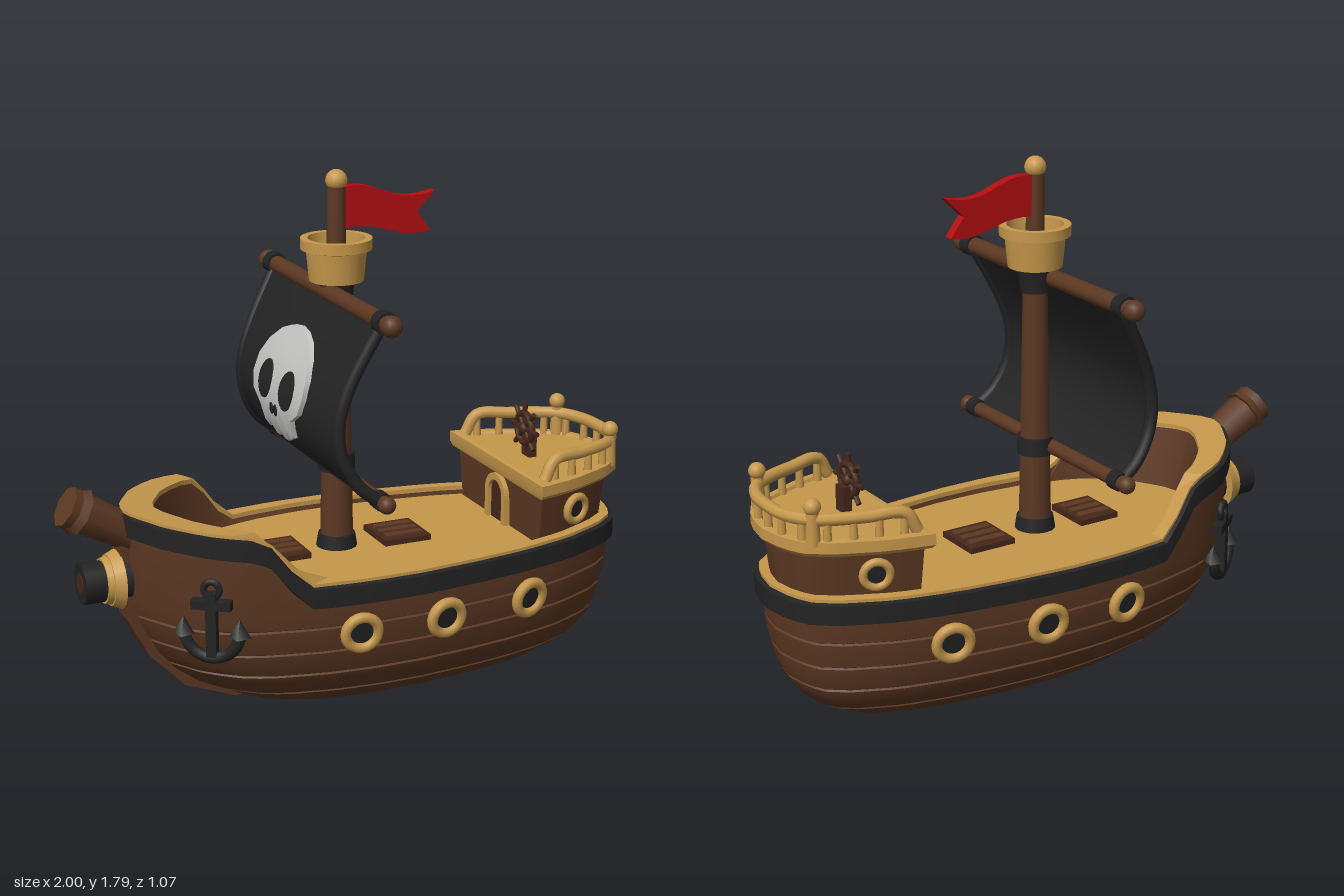
import * as THREE from 'three';
import { toCreasedNormals } from 'three/addons/utils/BufferGeometryUtils.js';

const paint = (name, color) => Object.assign(new THREE.MeshStandardMaterial({ color }), { name });
const brown = paint('brown wood', 0x5c3823), dark = paint('dark wood', 0x46271a);
const gold = paint('golden wood', 0xc6984c), black = paint('black', 0x232324);
const red = paint('red cloth', 0xb30d10), white = paint('bone white', 0xc4c4c2);
const V = (x, y, z) => new THREE.Vector3(x, y, z);

// Linear lookup in rows of [key, value, value...]
function lookup(rows, t) {
  let i = 1;
  while (i < rows.length - 1 && rows[i][0] < t) i++;
  const a = rows[i - 1], b = rows[i];
  const k = THREE.MathUtils.clamp((t - a[0]) / (b[0] - a[0]), 0, 1);
  return a.slice(1).map((v, j) => v + (b[j + 1] - v) * k);
}
// Plan half-width from bow (0) to stern (1)
const plan = [[0, 0], [0.006, 0.12], [0.015, 0.2], [0.05, 0.46], [0.107, 0.7], [0.164, 0.83], [0.28, 0.95], [0.39, 1],
  [0.5, 1], [0.62, 0.95], [0.73, 0.88], [0.84, 0.76], [0.93, 0.58], [0.97, 0.44], [0.99, 0.27], [1, 0]];
// Hull levels: height, bow x, stern x, half-width
const levels = [[0, -0.1, 0.35, 0.03], [0.02, -0.3, 0.55, 0.15], [0.07, -0.45, 0.75, 0.25], [0.12, -0.56, 0.85, 0.3],
  [0.18, -0.64, 0.9, 0.345], [0.25, -0.7, 0.93, 0.375], [0.35, -0.755, 0.95, 0.4], [0.44, -0.785, 0.96, 0.41]];
const halfWidth = (x, y) => {
  const [b, s, w] = lookup(levels, y);
  return w * lookup(plan, (x - b) / (s - b))[0];
};
// Centre height of the black wale, rising in an S curve at the bow
const sheer = x => 0.5 + 0.17 * (1 - THREE.MathUtils.smoothstep(x, -0.46, -0.28))
  + 0.035 * THREE.MathUtils.clamp((-0.45 - x) / 0.35, 0, 1);

const N = 72;
function loop(bow, stern, w, y) {
  return Array.from({ length: N }, (_, i) => {
    const a = i / N * Math.PI * 2, u = (1 + Math.cos(a)) / 2, x = bow + (stern - bow) * u;
    return V(x, typeof y === 'function' ? y(x) : y, Math.sign(Math.sin(a)) * w * lookup(plan, u)[0]);
  });
}
// The same plan cut off square in front, for the stern castle
function castleLoop(front, stern, w, y) {
  const z = w * lookup(plan, (front + 0.79) / (stern + 0.79))[0];
  return loop(-0.79, stern, w, y).map(p => p.x > front ? p : V(front, y, THREE.MathUtils.clamp(p.z, -z, z)));
}
function loft(rings) {
  const n = rings[0].length, index = [];
  for (let i = 0; i < rings.length - 1; i++) for (let j = 0; j < n; j++) {
    const a = i * n + j, b = i * n + (j + 1) % n, c = b + n, d = a + n;
    index.push(a, d, b, b, d, c);
  }
  const g = new THREE.BufferGeometry().setFromPoints(rings.flat());
  g.setIndex(index);
  return toCreasedNormals(g, 0.55);
}
function add(parent, name, geo, mat, x = 0, y = 0, z = 0) {
  const m = new THREE.Mesh(geo, mat);
  m.name = name;
  m.position.set(x, y, z);
  parent.add(m);
  return m;
}
const cyl = (r1, r2, h, n = 16) => new THREE.CylinderGeometry(r1, r2, h, n);
const box = (x, y, z) => new THREE.BoxGeometry(x, y, z);
const ball = r => new THREE.SphereGeometry(r, 14, 10);
const shapeOf = pts => new THREE.Shape(pts.map(p => new THREE.Vector2(p[0], p[1])));
const extrude = (s, depth) => new THREE.ExtrudeGeometry(s, { depth, bevelEnabled: false, curveSegments: 10 });

// Fix a group on the ship's side, facing outwards (s is +1 or -1)
function onSide(parent, name, x, y, z, s, turn, tilt = 0) {
  const g = new THREE.Group();
  g.name = name;
  g.position.set(x, y, s * z);
  g.rotation.order = 'YXZ';
  g.rotation.set(tilt, s > 0 ? turn : Math.PI - turn, 0);
  parent.add(g);
  return g;
}
function porthole(parent, x, y, z, s, turn, r, tilt) {
  const g = onSide(parent, 'porthole', x, y, z, s, turn, tilt);
  add(g, 'portholeRing', new THREE.TorusGeometry(r * 0.77, r * 0.25, 8, 20), gold, 0, 0, 0.008);
  add(g, 'portholeGlass', cyl(r * 0.7, r * 0.7, 0.02, 20).rotateX(Math.PI / 2), black);
}

function buildHull(ship) {
  // Planked hull with a groove at each seam
  const rings = [loop(-0.1, 0.35, 0, 0)], seams = [0.12, 0.21, 0.3, 0.39];
  const ys = [0, 0.02, 0.045, 0.07, 0.095, 0.15, 0.18, 0.25, 0.35, 0.44, ...seams.flatMap(s => [s - 0.005, s, s + 0.005])];
  for (const y of ys.sort((a, b) => a - b)) {
    const [b, s, w] = lookup(levels, y), cut = seams.includes(y) ? 0.008 : 0;
    rings.push(loop(b + cut, s - cut, w - cut, y));
  }
  rings.push(loop(-0.79, 0.965, 0.41, sheer));
  add(ship, 'hull', loft(rings), brown);
  const at = (d, k) => loop(-0.79 - d, 0.965 + d, 0.405 + d, x => sheer(x) + k);
  add(ship, 'wale', loft([at(0, -0.037), at(0.018, -0.034), at(0.018, 0.031), at(0, 0.036), at(-0.02, 0.036)]), black);
  const inner = k => loop(-0.68, 0.92, 0.365, x => sheer(x) + k);
  add(ship, 'rail', loft([at(0.002, 0.025), at(0.002, 0.046), inner(0.046), inner(0.02)]), gold);
  add(ship, 'innerBulwark', loft([inner(0.03), loop(-0.63, 0.915, 0.36, 0.514)]), brown);
  add(ship, 'deck', loft([loop(-0.66, 0.92, 0.366, 0.515), loop(-0.66, 0.92, 0, 0.515)]), gold);
  // Stem timber along the bow
  const stem = shapeOf([[-0.81, 0.66], [-0.812, 0.5], [-0.795, 0.38], [-0.72, 0.24], [-0.6, 0.115], [-0.42, 0.045],
    [-0.36, 0.06], [-0.5, 0.18], [-0.66, 0.4], [-0.7, 0.66]]);
  add(ship, 'stem', extrude(stem, 0.08), brown, 0, 0, -0.04);
  // Bowsprit and bow cannon
  add(ship, 'bowsprit', cyl(0.07, 0.055, 0.3, 8), brown, -0.845, 0.708, 0).rotation.z = 1.05;
  add(ship, 'bowspritTip', cyl(0.06, 0.082, 0.045, 8), brown, -0.947, 0.766, 0).rotation.z = 1.05;
  add(ship, 'cannonBarrel', cyl(0.068, 0.068, 0.16), black, -0.855, 0.512, 0).rotation.z = Math.PI / 2;
  add(ship, 'cannonBore', cyl(0.035, 0.035, 0.004), dark, -0.936, 0.512, 0).rotation.z = Math.PI / 2;
  add(ship, 'cannonRing', cyl(0.085, 0.1, 0.035, 20), gold, -0.825, 0.512, 0).rotation.z = Math.PI / 2;
  add(ship, 'cannonCollar', cyl(0.075, 0.08, 0.02, 20), gold, -0.853, 0.512, 0).rotation.z = Math.PI / 2;

  for (const s of [1, -1]) {
    for (const x of [-0.125, 0.18, 0.51]) {
      const slope = (halfWidth(x + 0.02, 0.365) - halfWidth(x - 0.02, 0.365)) / 0.04;
      porthole(ship, x, 0.365, halfWidth(x, 0.365) + 0.004, s, Math.atan(-slope), 0.072, 0.14);
    }
    // Anchor
    const g = onSide(ship, 'anchor', -0.6, 0, halfWidth(-0.6, 0.44) + 0.02, s, -0.62);
    add(g, 'anchorShank', box(0.034, 0.22, 0.035), black, 0, 0.43, 0);
    add(g, 'anchorStock', box(0.13, 0.03, 0.035), black, 0, 0.5, 0);
    add(g, 'anchorRing', new THREE.TorusGeometry(0.026, 0.012, 8, 14), black, 0, 0.55, 0);
    add(g, 'anchorArms', new THREE.TorusGeometry(0.092, 0.02, 8, 16, Math.PI).rotateZ(Math.PI), black, 0, 0.41, 0);
    for (const k of [1, -1]) add(g, 'anchorFluke', new THREE.ConeGeometry(0.036, 0.06, 4), black, k * 0.092, 0.425, 0);
  }
  // Deck hatches
  for (const [x, w] of [[0.19, 0.17], [-0.24, 0.15]]) {
    add(ship, 'hatch', box(w, 0.025, 0.18), dark, x, 0.522, 0);
    for (const k of [-1, 0, 1]) add(ship, 'hatchSlat', box(w * 0.8, 0.01, 0.03), brown, x, 0.536, k * 0.048);
  }
}

function buildCastle(ship) {
  add(ship, 'castleWall', loft([castleLoop(0.585, 0.935, 0.35, 0.5), castleLoop(0.58, 0.955, 0.375, 0.7)]), brown);
  add(ship, 'castleDeck', loft([castleLoop(0.59, 0.94, 0.36, 0.685), castleLoop(0.565, 0.975, 0.39, 0.69),
    castleLoop(0.56, 0.99, 0.405, 0.705), castleLoop(0.56, 0.99, 0.405, 0.742), castleLoop(0.575, 0.965, 0.375, 0.744),
    castleLoop(0.58, 0.96, 0.37, 0.734), castleLoop(0.58, 0.96, 0, 0.734)]), gold);
  for (const s of [1, -1]) porthole(ship, 0.73, 0.62, 0.262, s, 0.32, 0.056, 0.08);
  // Railing round the stern
  const side = [[0.595, 0.745, 0.292], [0.635, 0.81, 0.285], [0.75, 0.812, 0.252], [0.85, 0.812, 0.215], [0.915, 0.812, 0.17], [0.955, 0.81, 0.09]];
  const path = [...side.map(p => V(...p)), V(0.963, 0.81, 0), ...side.map(([x, y, z]) => V(x, y, -z)).reverse()];
  const curve = new THREE.CatmullRomCurve3(path);
  add(ship, 'handrail', new THREE.TubeGeometry(curve, 60, 0.021, 8), gold);
  for (let i = 1; i < 14; i++) {
    const p = curve.getPointAt(i / 14);
    add(ship, 'baluster', cyl(0.012, 0.015, 0.08, 8), gold, p.x, 0.77, p.z);
  }
  for (const s of [1, -1]) {
    add(ship, 'railPost', cyl(0.02, 0.024, 0.12, 10), gold, 0.905, 0.79, s * 0.185);
    add(ship, 'railKnob', ball(0.028), gold, 0.905, 0.855, s * 0.185);
  }
  // Arched door
  const arch = (w, h) => new THREE.Shape().moveTo(-w, 0).lineTo(w, 0).lineTo(w, h).absarc(0, h, w, 0, Math.PI, false);
  const frame = arch(0.072, 0.098);
  frame.holes.push(arch(0.048, 0.098));
  add(ship, 'doorFrame', extrude(frame, 0.025), gold, 0.588, 0.515, 0).rotation.y = -Math.PI / 2;
  add(ship, 'door', extrude(arch(0.05, 0.098), 0.012), dark, 0.588, 0.515, 0).rotation.y = -Math.PI / 2;
  // Steering wheel
  const g = new THREE.Group();
  g.name = 'steeringWheel';
  g.position.set(0.675, 0.835, 0);
  g.rotation.y = Math.PI / 2;
  ship.add(g);
  add(g, 'wheelRim', new THREE.TorusGeometry(0.053, 0.012, 8, 20), dark);
  add(g, 'wheelHub', ball(0.022), dark);
  for (let i = 0; i < 4; i++) add(g, 'wheelSpoke', cyl(0.009, 0.009, 0.18, 8), dark).rotation.z = i * Math.PI / 4;
  add(ship, 'wheelStand', box(0.03, 0.09, 0.05), dark, 0.695, 0.775, 0);
}

// Bulging sail surface
const sailX = (y, z) => {
  const v = THREE.MathUtils.clamp((y - 0.81) / 0.57, 0, 1);
  return -0.075 - 0.155 * Math.sin(Math.PI * Math.pow(v, 0.75)) * (1 - 0.15 * (z / 0.43) ** 2);
};
const sailEdge = y => 0.435 - 0.022 * Math.sin(Math.PI * (y - 0.81) / 0.57);
// Thin plate that follows the sail
function patch(points, cy, cz, low, high) {
  const ring = (k, off) => points.map(([z, y]) => V(sailX(cy + y * k, cz + z * k) - 0.012 - off, cy + y * k, cz + z * k));
  return loft([ring(1, low), ...[1, 0.85, 0.7, 0.55, 0.4, 0.2, 0].map(k => ring(k, high))]);
}

function buildRig(ship) {
  const mx = -0.035;
  add(ship, 'mast', cyl(0.04, 0.056, 0.93), brown, mx, 0.975, 0);
  add(ship, 'mastFoot', cyl(0.062, 0.07, 0.05), black, mx, 0.535, 0);
  add(ship, 'lowerCollar', cyl(0.06, 0.062, 0.06), black, mx, 0.815, 0);
  add(ship, 'upperCollar', cyl(0.06, 0.05, 0.09), black, mx, 1.39, 0);
  add(ship, 'topMast', cyl(0.03, 0.032, 0.3), brown, mx, 1.59, 0);
  add(ship, 'mastKnob', ball(0.036), gold, mx, 1.757, 0);
  const nest = [[0, 1.43], [0.09, 1.43], [0.1, 1.53], [0.118, 1.535], [0.118, 1.57], [0.094, 1.57], [0.086, 1.47], [0, 1.47]];
  add(ship, 'crowsNest', toCreasedNormals(new THREE.LatheGeometry(nest.map(p => new THREE.Vector2(...p)), 24), 0.6), gold, mx, 0, 0);
  // Yards with end knobs and bands
  for (const [y, half, r, band] of [[1.395, 0.5, 0.029, 0.445], [0.81, 0.475, 0.024, 0.425]]) {
    add(ship, 'yard', cyl(r, r, half * 2, 12).rotateX(Math.PI / 2), brown, -0.07, y, 0);
    for (const s of [1, -1]) {
      add(ship, 'yardKnob', ball(r * 1.2), brown, -0.07, y, s * half);
      add(ship, 'yardBand', cyl(r * 1.3, r * 1.3, 0.045, 12).rotateX(Math.PI / 2), black, -0.07, y, s * band);
    }
  }
  // Sail with thick side hems
  const sail = box(0.024, 0.57, 2, 1).dispose() || new THREE.BoxGeometry(0.024, 0.57, 2, 1, 24, 20);
  const p = sail.attributes.position;
  for (let i = 0; i < p.count; i++) {
    const y = p.getY(i) + 1.095, z = p.getZ(i) * sailEdge(y);
    p.setXYZ(i, p.getX(i) + sailX(y, z), y, z);
  }
  add(ship, 'sail', toCreasedNormals(sail, 0.6), black);
  for (const s of [1, -1]) {
    const hem = Array.from({ length: 13 }, (_, i) => {
      const y = 0.81 + i * 0.0475, z = s * sailEdge(y);
      return V(sailX(y, z), y, z);
    });
    add(ship, 'sailHem', new THREE.TubeGeometry(new THREE.CatmullRomCurve3(hem), 24, 0.021, 8), black);
  }
  // Skull emblem
  const half = [[0.055, 0.165], [0.11, 0.145], [0.165, 0.1], [0.198, 0.045], [0.205, -0.015], [0.185, -0.07], [0.13, -0.105],
    [0.118, -0.165], [0.085, -0.18], [0.07, -0.155], [0.05, -0.195], [0.02, -0.195]];
  const skull = [[0, 0.172], ...half, [0, -0.17], ...half.map(([z, y]) => [-z, y]).reverse()];
  const oval = (a, b, n = 20) => Array.from({ length: n }, (_, i) => [a * Math.sin(i / n * 2 * Math.PI), b * Math.cos(i / n * 2 * Math.PI)]);
  add(ship, 'skull', patch(skull, 1.115, 0, 0, 0.018), white);
  for (const s of [1, -1]) {
    add(ship, 'skullEye', patch(oval(0.052, 0.064), 1.1, s * 0.088, 0.017, 0.022), black);
    add(ship, 'skullNostril', patch(oval(0.011, 0.02, 10), 1.018, s * 0.016, 0.017, 0.022), black);
  }
  // Swallow-tailed flag
  const flag = new THREE.Shape().moveTo(-0.02, 1.735).bezierCurveTo(0.12, 1.76, 0.14, 1.655, 0.31, 1.7)
    .lineTo(0.245, 1.635).lineTo(0.295, 1.57).bezierCurveTo(0.17, 1.54, 0.13, 1.62, -0.02, 1.6);
  add(ship, 'flag', extrude(flag, 0.034), red, 0, 0, -0.017);
}

export function createModel() {
  const ship = new THREE.Group();
  ship.name = 'sailingShip';
  buildHull(ship);
  buildCastle(ship);
  buildRig(ship);
  return ship;
}
